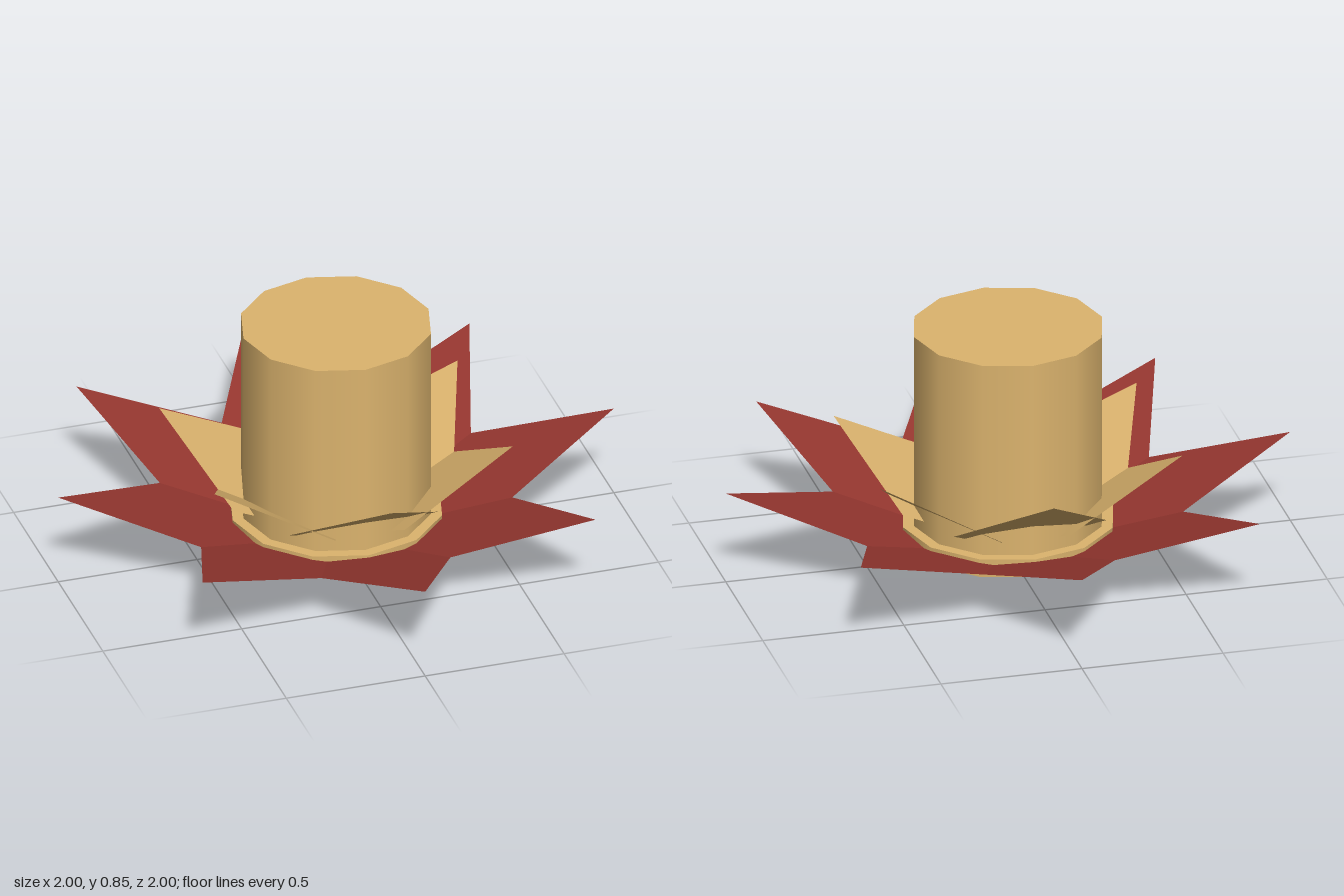
import * as THREE from 'three';

// Flat kite petal running from the centre along +z and rising to its tip
function petalGeometry(tipR, tipY, cornerR, halfWidth, baseY) {
  const cornerY = baseY + (tipY - baseY) * cornerR / tipR;
  const g = new THREE.BufferGeometry();
  g.setAttribute('position', new THREE.Float32BufferAttribute([
    0, baseY, 0,
    halfWidth, cornerY, cornerR,
    0, tipY, tipR,
    -halfWidth, cornerY, cornerR,
  ], 3));
  g.setIndex([0, 2, 1, 0, 3, 2]);
  g.computeVertexNormals();
  return g;
}

function petalRing(name, count, geometry, material) {
  const ring = new THREE.Group();
  ring.name = name + 's';
  for (let i = 0; i < count; i++) {
    const petal = new THREE.Mesh(geometry, material);
    petal.name = name;
    petal.rotation.y = i * 2 * Math.PI / count;
    ring.add(petal);
  }
  return ring;
}

function cylinder(name, radius, bottom, top, material) {
  const mesh = new THREE.Mesh(new THREE.CylinderGeometry(radius, radius, top - bottom, 12), material);
  mesh.name = name;
  mesh.position.y = (bottom + top) / 2;
  return mesh;
}

export function createModel() {
  const red = new THREE.MeshStandardMaterial({ color: 0x94362f });
  red.name = 'deep red';
  red.side = THREE.DoubleSide;
  const gold = new THREE.MeshStandardMaterial({ color: 0xdcb46e });
  gold.name = 'gold';
  gold.side = THREE.DoubleSide;

  const model = new THREE.Group();
  model.name = 'petalledColumn';

  // Wide outer petals and steeper inner petals
  model.add(petalRing('outerPetal', 8, petalGeometry(1, 0.333, 0.4, 0.316, 0), red));
  model.add(petalRing('innerPetal', 6, petalGeometry(0.62, 0.435, 0.3, 0.27, 0.015), gold));

  // Base disc and the column standing on it
  model.add(cylinder('baseDisc', 0.372, 0.067, 0.133, gold));
  model.add(cylinder('column', 0.333, 0.133, 0.845, gold));
  return model;
}
